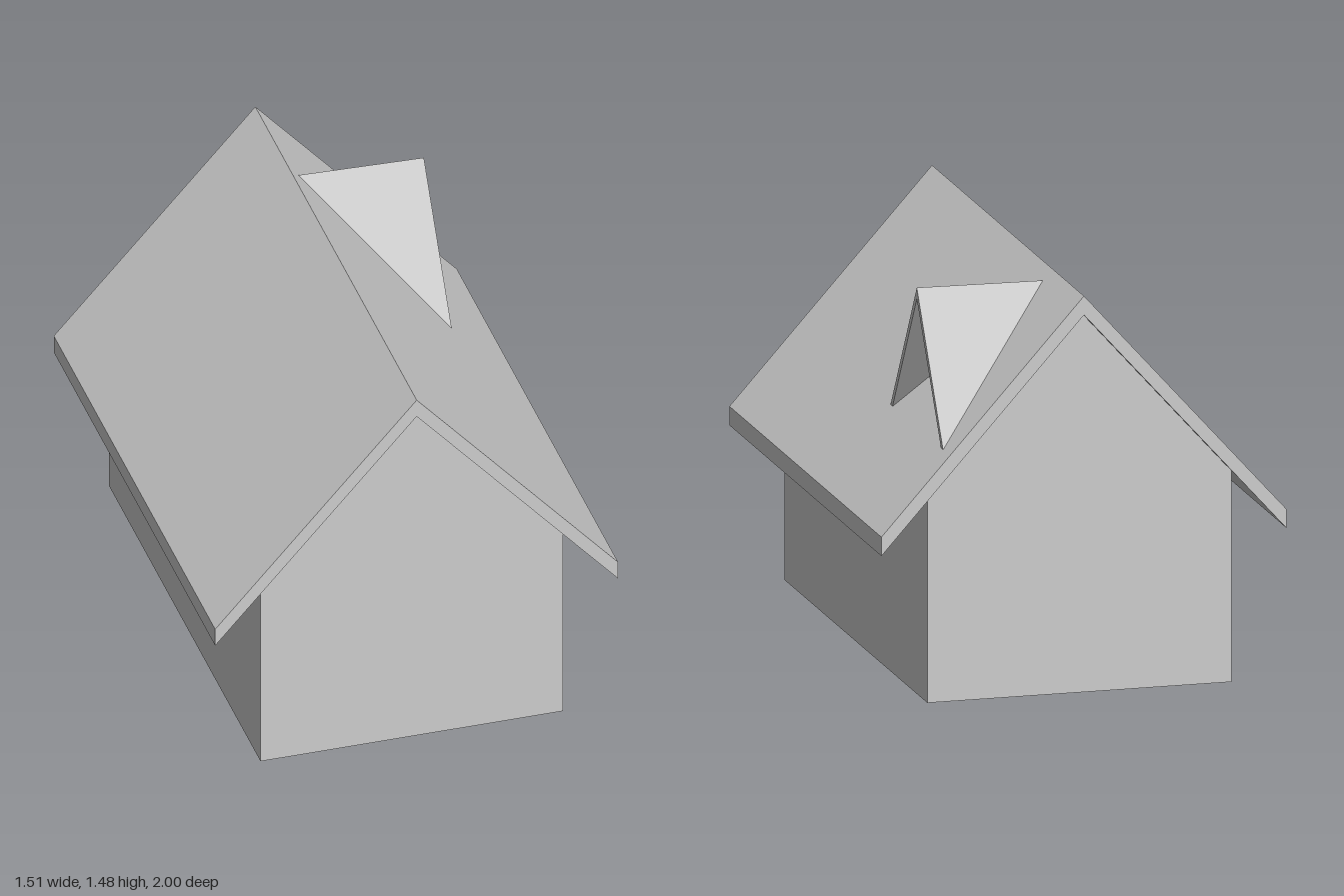
import * as THREE from 'three';

const RIDGE = 1.48;      // top of the roof
const PITCH = 0.84 / 0.755;
const THICK = 0.07;      // vertical roof thickness

function outline(points) {
  return new THREE.Shape(points.map(([x, y]) => new THREE.Vector2(x, y)));
}

// Prism with the given front outline, centred on z = 0
function prism(points, length) {
  const g = new THREE.ExtrudeGeometry(outline(points), { depth: length, bevelEnabled: false });
  return g.translate(0, 0, -length / 2);
}

export function createModel() {
  const group = new THREE.Group();
  const grey = new THREE.MeshStandardMaterial({ color: 0xcccccc });
  grey.name = 'light grey';
  const add = (name, geometry) => {
    const mesh = new THREE.Mesh(geometry, grey);
    mesh.name = name;
    group.add(mesh);
  };

  // House body with gable ends reaching the underside of the roof
  const w = 0.567, eave = RIDGE - THICK - w * PITCH;
  add('walls', prism([[-w, 0], [w, 0], [w, eave], [0, RIDGE - THICK], [-w, eave]], 1.88));

  // Overhanging gable roof with plumb-cut eaves
  const r = 0.755, low = RIDGE - r * PITCH;
  add('roof', prism([
    [-r, low - THICK], [0, RIDGE - THICK], [r, low - THICK],
    [r, low], [0, RIDGE], [-r, low],
  ], 2));

  // Open dormer roof, running back into the roof slope at a slight skew
  const front = 0.5, foot = 0.925, peak = 1.44;
  const dormer = new THREE.ExtrudeGeometry(outline([
    [-0.345, foot], [-0.318, foot], [0, peak - 0.042], [0.318, foot],
    [0.345, foot], [0, peak],
  ]), { depth: 1, bevelEnabled: false });
  dormer.rotateY(Math.PI / 2);
  const p = dormer.attributes.position;
  for (let i = 0; i < p.count; i++) {
    const y = p.getY(i);
    const x = p.getX(i) > 0.5 ? front : (RIDGE - y) / PITCH;
    p.setXYZ(i, x, y, p.getZ(i) - 0.565 - 0.045 * (front - x));
  }
  dormer.computeVertexNormals();
  add('dormerRoof', dormer);

  return group;
}
